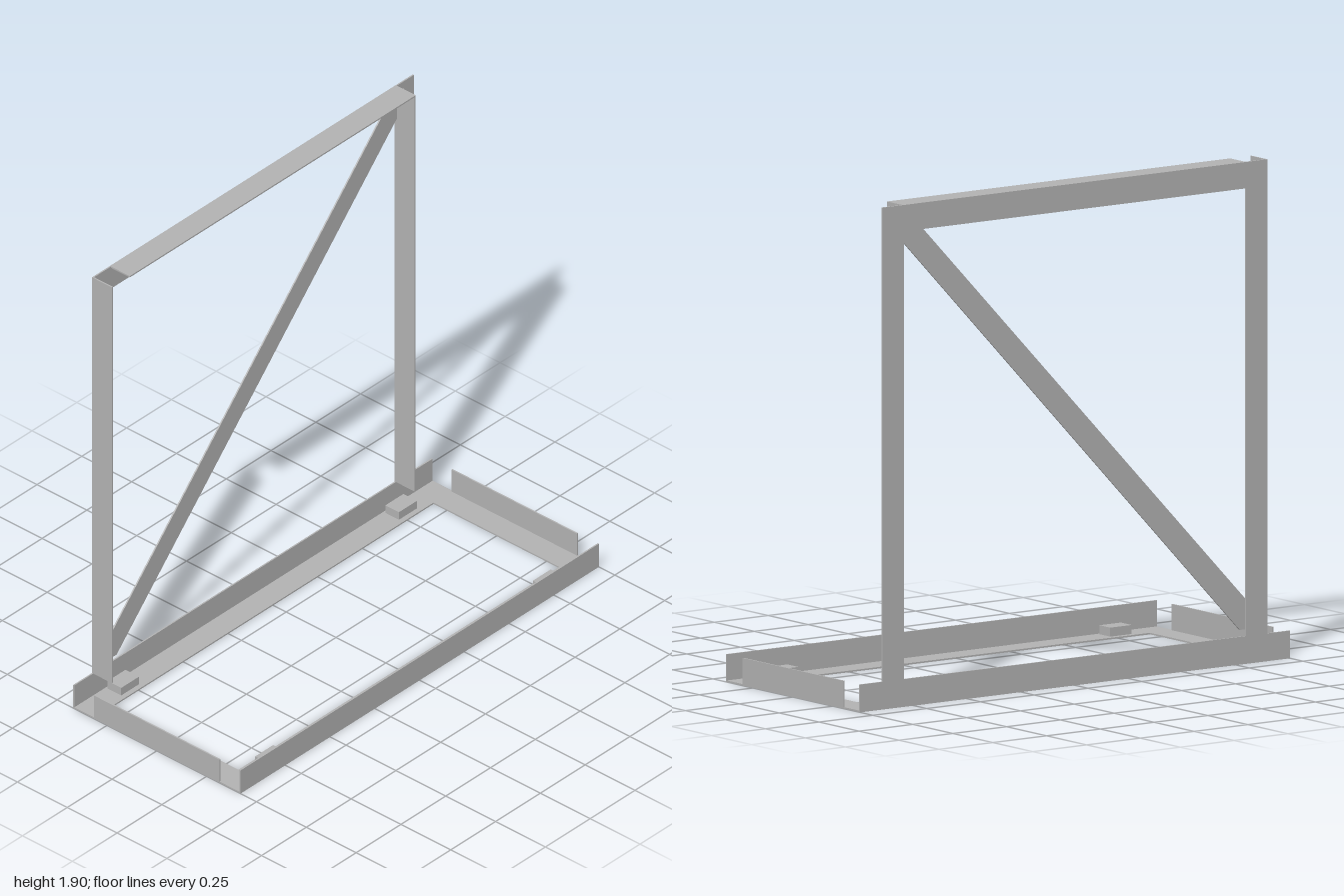
import * as THREE from 'three';

const T = 0.006;   // sheet thickness
const W = 0.105;   // flange width
const X = 0.42;    // half width of base
const COL = 0.895; // outer end of the upright frame
const TOP = 1.9;

export function createModel() {
  const model = new THREE.Group();
  model.name = 'angleIronFrame';
  const steel = new THREE.MeshStandardMaterial({ color: 0xb2b2b2 });
  steel.name = 'steelGrey';

  // Box given by its min and max corners
  function plate(parent, name, [x0, y0, z0], [x1, y1, z1]) {
    const mesh = new THREE.Mesh(new THREE.BoxGeometry(x1 - x0, y1 - y0, z1 - z0), steel);
    mesh.position.set((x0 + x1) / 2, (y0 + y1) / 2, (z0 + z1) / 2);
    mesh.name = name;
    parent.add(mesh);
  }

  // Base: flat rectangular ring with upright flanges on all four sides
  const base = new THREE.Group();
  base.name = 'base';
  model.add(base);
  const inner = X - W;
  for (const s of [-1, 1]) {
    const side = s < 0 ? 'right' : 'left';
    const end = s < 0 ? 'back' : 'front';
    const xs = [s * X, s * inner].sort((a, b) => a - b);
    const zs = [s, s * (1 - W)].sort((a, b) => a - b);
    const wall = [s * X, s * (X - T)].sort((a, b) => a - b);
    const lip = [s, s * (1 - T)].sort((a, b) => a - b);
    plate(base, side + 'RailBottom', [xs[0], 0, -1], [xs[1], T, 1]);
    plate(base, side + 'RailWall', [wall[0], T, -1], [wall[1], W, 1]);
    plate(base, end + 'RailBottom', [-inner, 0, zs[0]], [inner, T, zs[1]]);
    plate(base, end + 'RailWall', [-inner, T, lip[0]], [inner, W, lip[1]]);
    // Small mounting pads on the long rails
    for (const e of [-1, 1]) {
      plate(base, side + 'Pad', [s * 0.37 - 0.034, T, e * 0.775 - 0.05], [s * 0.37 + 0.034, 0.04, e * 0.775 + 0.05]);
    }
  }

  // Upright frame: both posts carry their cross flange on the +z side
  const upright = new THREE.Group();
  upright.name = 'uprightFrame';
  model.add(upright);
  const inEdge = COL - 0.1;
  for (const [name, zFront] of [['frontPost', COL], ['backPost', -inEdge]]) {
    plate(upright, name + 'Side', [-X, W, zFront - 0.1], [-X + T, TOP, zFront]);
    plate(upright, name + 'Flange', [-X + T, W, zFront - T], [-X + 0.1, TOP, zFront]);
  }
  // Top beam
  plate(upright, 'topBeamSide', [-X, TOP - 0.1, -inEdge], [-X + T, TOP, inEdge]);
  plate(upright, 'topBeamFlange', [-X + T, TOP - T, -inEdge], [-X + 0.1, TOP, inEdge]);

  // Diagonal flat brace with clipped ends, drawn in (-z, y) and turned to face +x
  const outline = [[-0.84, 0.13], [-0.77, 0.13], [0.835, 1.8], [0.835, 1.87], [0.77, 1.87], [-0.84, 0.2]];
  const shape = new THREE.Shape(outline.map(([a, b]) => new THREE.Vector2(a, b)));
  const brace = new THREE.Mesh(new THREE.ExtrudeGeometry(shape, { depth: T, bevelEnabled: false }), steel);
  brace.rotation.y = Math.PI / 2;
  brace.position.x = -X + T;
  brace.name = 'diagonalBrace';
  upright.add(brace);

  return model;
}
